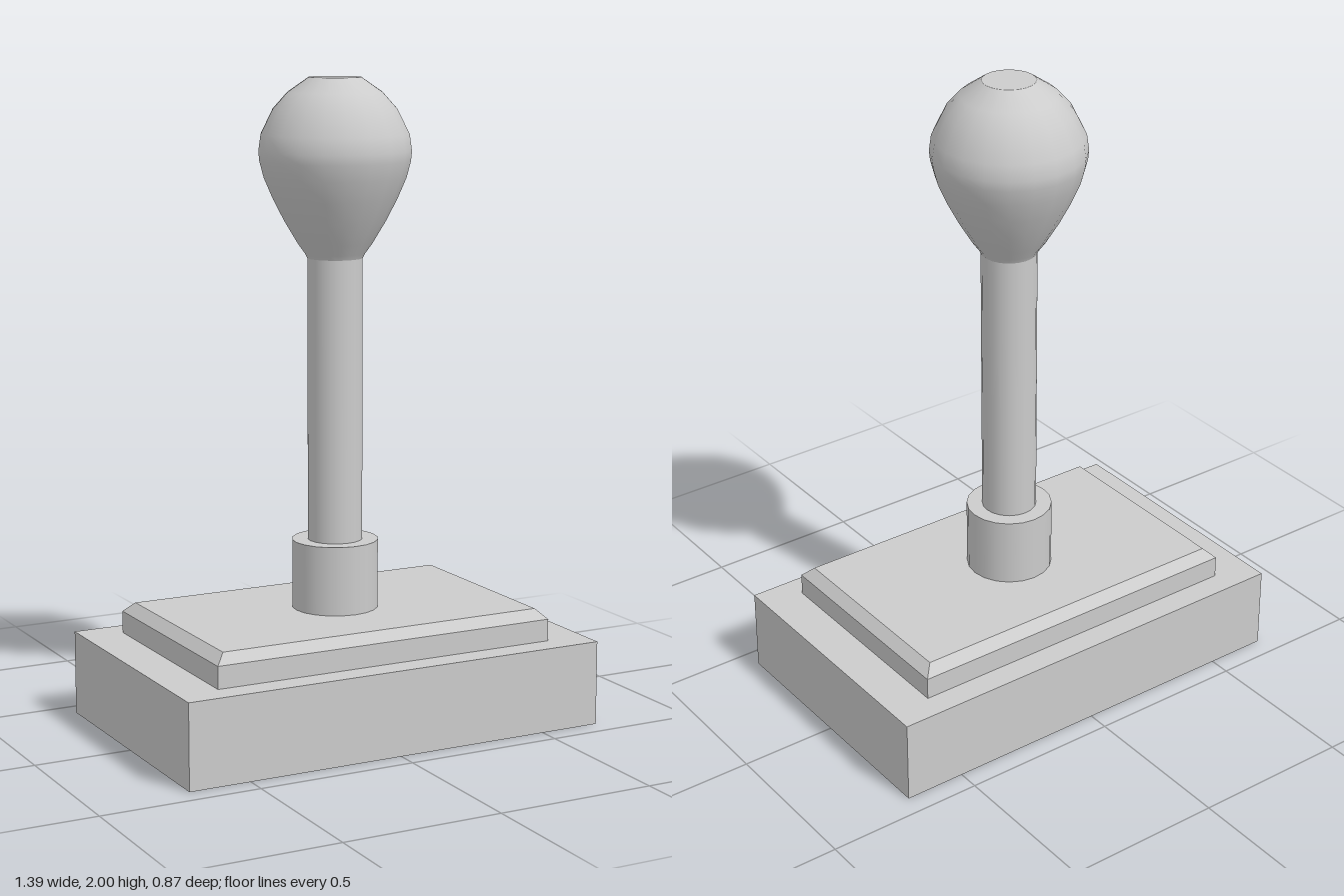
import * as THREE from 'three';

const SIDES = 20;

export function createModel() {
  const model = new THREE.Group();
  const material = new THREE.MeshStandardMaterial({ color: 0xcccccc });
  const add = (name, geometry, x, y, z) => {
    const mesh = new THREE.Mesh(geometry, material);
    mesh.name = name;
    mesh.position.set(x, y, z);
    model.add(mesh);
    return mesh;
  };

  // Rectangular base block
  add('base', new THREE.BoxGeometry(1.39, 0.265, 0.866), 0, 0.1325, 0);

  // Raised plate: the top ring is drawn in and the middle ring raised to form a chamfer
  const width = 1.13, height = 0.1, depth = 0.706, chamfer = 0.031;
  let plate = new THREE.BoxGeometry(width, height, depth, 1, 2, 1);
  const p = plate.attributes.position;
  for (let i = 0; i < p.count; i++) {
    if (p.getY(i) > 0.01) {
      p.setX(i, p.getX(i) - Math.sign(p.getX(i)) * chamfer);
      p.setZ(i, p.getZ(i) - Math.sign(p.getZ(i)) * chamfer);
    } else if (p.getY(i) > -0.01) {
      p.setY(i, height / 2 - chamfer);
    }
  }
  plate = plate.toNonIndexed();
  plate.computeVertexNormals();
  add('plate', plate, 0, 0.315, 0);

  // Collar and shaft
  const cx = 0.005, cz = -0.003;
  add('collar', new THREE.CylinderGeometry(0.134, 0.134, 0.215, SIDES), cx, 0.4725, cz);
  add('shaft', new THREE.CylinderGeometry(0.085, 0.085, 1.1, SIDES), cx, 0.92, cz);

  // Pear-shaped knob, closed by a flat cap
  const profile = [
    [0.083, 1.45], [0.092, 1.468], [0.115, 1.5], [0.155, 1.567], [0.19, 1.635], [0.218, 1.7],
    [0.231, 1.75], [0.234, 1.78], [0.227, 1.83], [0.19, 1.905], [0.145, 1.955], [0.08, 2],
  ].map(([r, y]) => new THREE.Vector2(r, y));
  add('knob', new THREE.LatheGeometry(profile, SIDES), cx, 0, cz);
  add('knobCap', new THREE.CircleGeometry(0.08, SIDES).rotateX(-Math.PI / 2), cx, 2, cz);

  return model;
}
